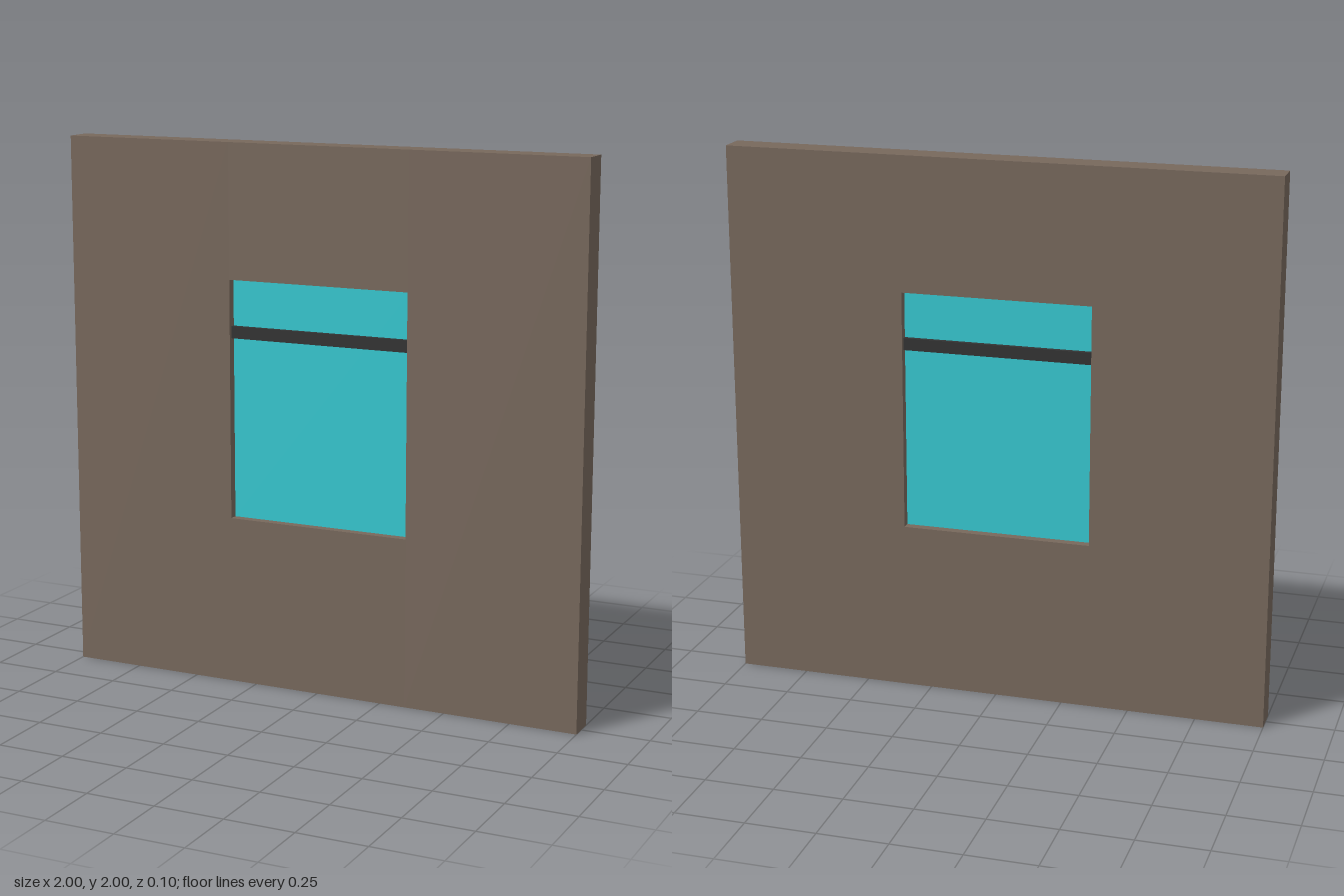
import * as THREE from 'three';

const W = 1, H = 2, D = 0.104;            // wall half width, height, thickness
const X = 0.348, Y0 = 0.625, Y1 = 1.508;  // window opening

const paint = (color, side = THREE.FrontSide) =>
  new THREE.MeshStandardMaterial({ color, side, flatShading: true });

// Box given by its x and y limits, centred on z = 0
function slab(name, x0, x1, y0, y1, depth, material) {
  const mesh = new THREE.Mesh(new THREE.BoxGeometry(x1 - x0, y1 - y0, depth), material);
  mesh.position.set((x0 + x1) / 2, (y0 + y1) / 2, 0);
  mesh.name = name;
  return mesh;
}

// Remove the underside of a box (its fourth face)
function openBottom(mesh) {
  const index = Array.from(mesh.geometry.index.array);
  index.splice(18, 6);
  mesh.geometry.setIndex(index);
  mesh.geometry.clearGroups();
  return mesh;
}

export function createModel() {
  const model = new THREE.Group();
  model.name = 'wallWithWindow';

  const wallPaint = paint(0x77685c);
  const hollowPaint = paint(0x77685c, THREE.DoubleSide);

  // Wall around the opening; the side sections are hollow and open below
  const wall = new THREE.Group();
  wall.name = 'wall';
  wall.add(
    openBottom(slab('wallLeft', X, W, 0, H, D, hollowPaint)),
    openBottom(slab('wallRight', -W, -X, 0, H, D, hollowPaint)),
    slab('wallBelowWindow', -X, X, 0, Y0, D, wallPaint),
    slab('wallAboveWindow', -X, X, Y1, H, D, wallPaint)
  );

  // Recessed glass with a crossbar standing proud of it
  const win = new THREE.Group();
  win.name = 'window';
  win.add(
    slab('glass', -X, X, Y0, Y1, 0.04, paint(0x36c8d0)),
    slab('crossbar', -X, X, 1.293, 1.337, 0.074, paint(0x333333))
  );

  model.add(wall, win);
  return model;
}
